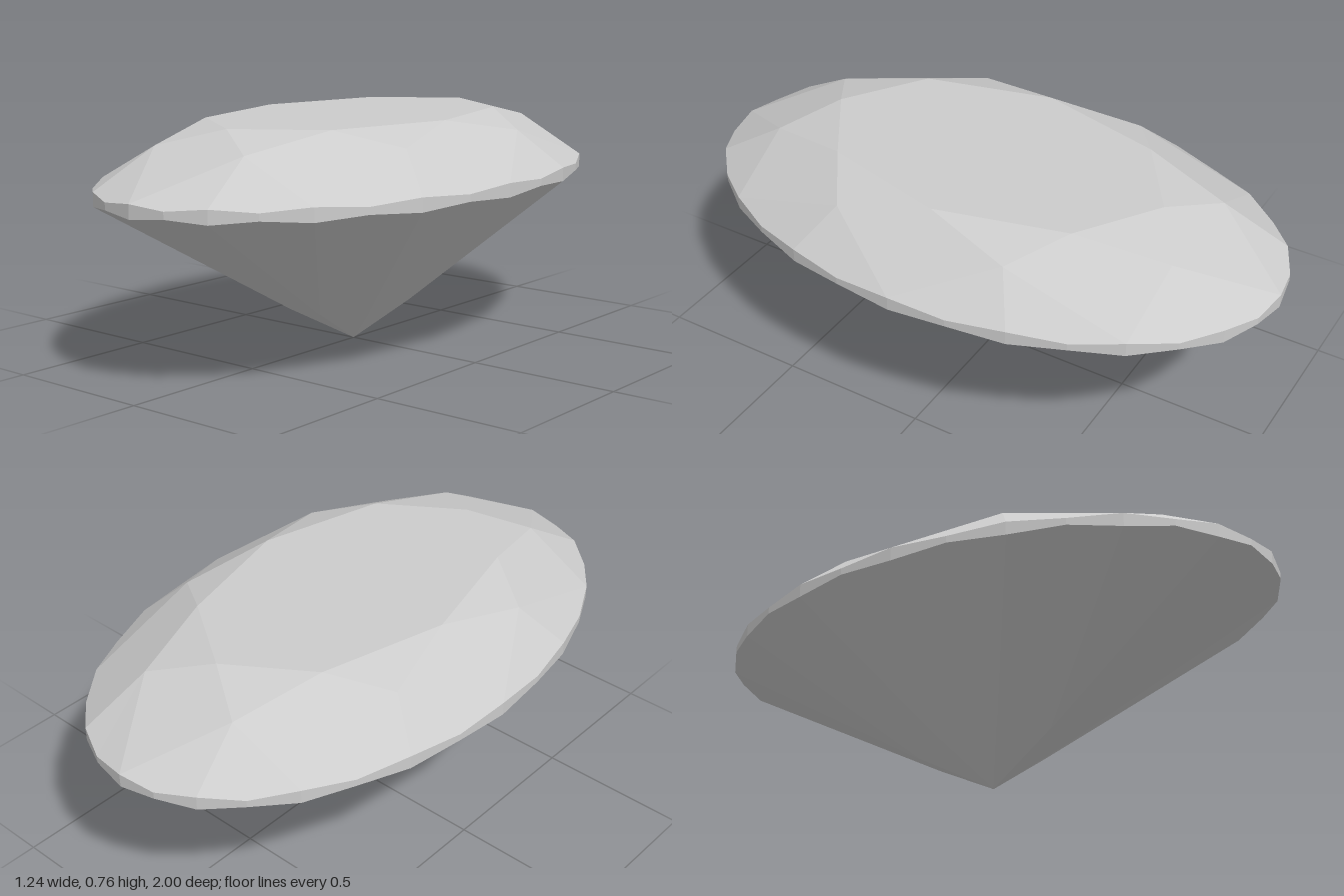
import * as THREE from 'three';

const HALF_WIDTH = 0.62;   // x half axis of the oval (z half axis is 1)
const STEPS = 32;          // girdle points around the oval
const TABLE_Y = 0.765, CROWN_Y = 0.59, PAVILION_Y = 0.545;
const TABLE_R = 0.6, CROWN_MID_R = 0.78, PAVILION_MID_R = 0.27;

// Point on a scaled oval ring; step 0 faces the front and runs towards +x
function ringPoint(step, radius, y) {
  const angle = (step / STEPS) * Math.PI * 2;
  return new THREE.Vector3(HALF_WIDTH * radius * Math.sin(angle), y, radius * Math.cos(angle));
}

// Flat facets, each a convex loop of corners split into a fan
function facetMesh(name, facets, material) {
  const corners = [];
  for (const loop of facets) {
    for (let i = 1; i < loop.length - 1; i++) corners.push(loop[0], loop[i], loop[i + 1]);
  }
  const geometry = new THREE.BufferGeometry().setFromPoints(corners);
  geometry.computeVertexNormals();
  const mesh = new THREE.Mesh(geometry, material);
  mesh.name = name;
  return mesh;
}

export function createModel() {
  const gem = new THREE.MeshStandardMaterial({ color: 0xcccccc });
  gem.name = 'paleGrey';

  // Heights that keep the kite facets flat
  const cos = Math.cos(Math.PI / 8);
  const crownMidY = TABLE_Y - (TABLE_Y - CROWN_Y) * (CROWN_MID_R * cos - TABLE_R) / (1 - TABLE_R);
  const pavilionMidY = PAVILION_Y * PAVILION_MID_R * cos;

  // The girdle is scalloped: odd points are pinched
  const upper = (s) => ringPoint(s, 1, CROWN_Y - (s % 2 ? 0.011 : 0));
  const lower = (s) => ringPoint(s, 1, PAVILION_Y + (s % 2 ? 0.011 : 0));
  const tablePoint = (s) => ringPoint(s, TABLE_R, TABLE_Y);
  const crownMid = (s) => ringPoint(s, CROWN_MID_R, crownMidY);
  const pavilionMid = (s) => ringPoint(s, PAVILION_MID_R, pavilionMidY);
  const culet = new THREE.Vector3(0, 0, 0);

  const table = [], stars = [], crownKites = [], upperHalves = [];
  const girdle = [], pavilionKites = [], lowerHalves = [];

  // Eightfold facets
  for (let s = 0; s < STEPS; s += 4) {
    table.push(tablePoint(s));
    stars.push([tablePoint(s), crownMid(s + 2), tablePoint(s + 4)]);
    crownKites.push([upper(s), crownMid(s + 2), tablePoint(s), crownMid(s - 2)]);
    pavilionKites.push([culet, pavilionMid(s + 2), lower(s), pavilionMid(s - 2)]);
    // Pairs of facets meeting the girdle
    for (const a of [s, s + 2]) {
      upperHalves.push([crownMid(s + 2), upper(a), upper(a + 1), upper(a + 2)]);
      lowerHalves.push([pavilionMid(s + 2), lower(a + 2), lower(a + 1), lower(a)]);
    }
  }

  // Thin upright band
  for (let s = 0; s < STEPS; s++) {
    girdle.push([lower(s), lower(s + 1), upper(s + 1), upper(s)]);
  }

  const model = new THREE.Group();
  model.name = 'ovalGem';
  model.add(
    facetMesh('table', [table], gem),
    facetMesh('starFacets', stars, gem),
    facetMesh('crownKites', crownKites, gem),
    facetMesh('upperHalves', upperHalves, gem),
    facetMesh('girdle', girdle, gem),
    facetMesh('pavilionKites', pavilionKites, gem),
    facetMesh('lowerHalves', lowerHalves, gem),
  );
  return model;
}
